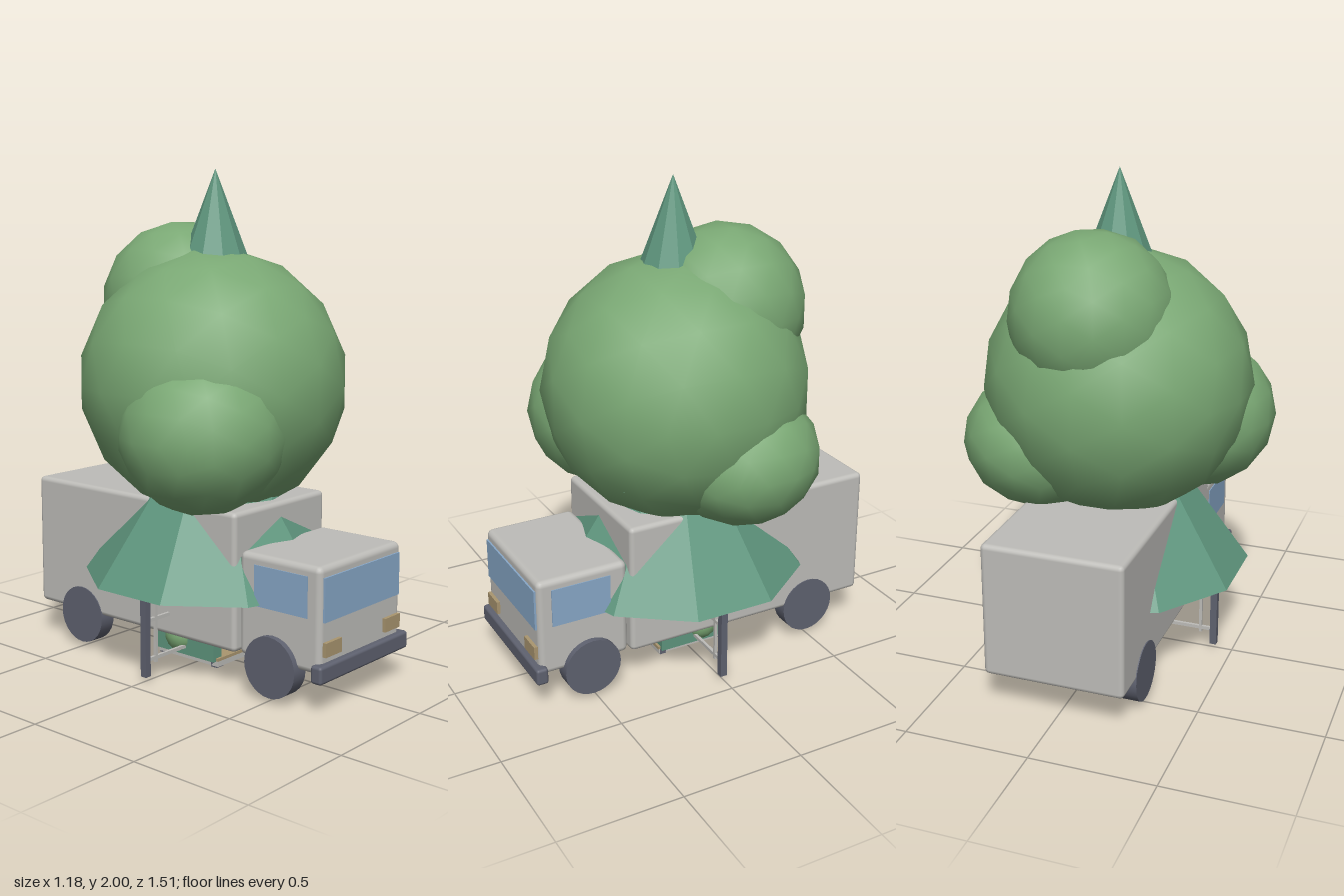
import * as THREE from 'three';
import { RoundedBoxGeometry } from 'three/addons/geometries/RoundedBoxGeometry.js';

function material(name, color, flatShading = false) {
  const m = new THREE.MeshStandardMaterial({ color, flatShading });
  m.name = name;
  return m;
}

export function createModel() {
  const model = new THREE.Group();
  const leaf = material('leaf green', 0x7aa874);
  const pine = material('pine green', 0x5f967e, true);
  const body = material('body grey', 0xbebdb9);
  const dark = material('rubber grey', 0x5f6270);
  const glass = material('window blue', 0x88a8c8);
  const lamp = material('lamp tan', 0xaa9670);
  const bark = material('bark brown', 0x7a6350);

  function add(parent, name, geometry, mat, x, y, z) {
    const mesh = new THREE.Mesh(geometry, mat);
    mesh.name = name;
    mesh.position.set(x, y, z);
    parent.add(mesh);
    return mesh;
  }
  function group(name) {
    const g = new THREE.Group();
    g.name = name;
    model.add(g);
    return g;
  }
  const box = (w, h, d) => new THREE.BoxGeometry(w, h, d);
  const rounded = (w, h, d, r) => new RoundedBoxGeometry(w, h, d, 2, r);

  // Delivery truck
  const truck = group('truck');
  add(truck, 'cargoBox', rounded(0.57, 0.55, 1.1, 0.02), body, 0, 0.43, -0.207);
  add(truck, 'cab', rounded(0.53, 0.41, 0.385, 0.025), body, 0, 0.355, 0.54);
  add(truck, 'chassis', box(0.4, 0.06, 1.2), dark, 0, 0.19, 0);
  add(truck, 'bumper', rounded(0.58, 0.07, 0.05, 0.012), dark, 0, 0.16, 0.732);
  add(truck, 'windshield', box(0.49, 0.17, 0.009), glass, 0, 0.435, 0.735);
  for (const s of [-1, 1]) {
    add(truck, 'sideWindow', box(0.006, 0.16, 0.25), glass, s * 0.266, 0.44, 0.55);
    add(truck, 'headlight', box(0.1, 0.055, 0.02), lamp, s * 0.195, 0.247, 0.737);
    for (const z of [0.515, -0.5]) {
      const wheel = add(truck, 'wheel', new THREE.CylinderGeometry(0.12, 0.12, 0.07, 28), dark, s * 0.254, 0.14, z);
      wheel.rotation.z = Math.PI / 2;
    }
  }

  // Round tree crown: x, y, z, radius, vertical scale
  const tree = group('roundTree');
  const blobs = [
    [0, 1.15, -0.01, 0.545, 1],
    [0.035, 1.46, -0.21, 0.33, 1.02],
    [-0.27, 0.99, 0.17, 0.33, 0.95],
    [0.275, 0.92, -0.155, 0.32, 0.87],
  ];
  for (const [x, y, z, r, sy] of blobs) {
    add(tree, 'foliage', new THREE.IcosahedronGeometry(r, 2), leaf, x, y, z).scale.y = sy;
  }
  add(tree, 'trunk', new THREE.CylinderGeometry(0.06, 0.09, 0.8, 10), bark, 0, 0.45, -0.02);

  // Stacked conifer tiers: base height, top height, radius
  const conifer = group('conifer');
  for (const [y0, y1, r] of [[0.365, 1.13, 0.54], [0.855, 1.6, 0.437], [1.16, 2, 0.32]]) {
    add(conifer, 'tier', new THREE.ConeGeometry(r, y1 - y0, 10), pine, 0, (y0 + y1) / 2, 0);
  }

  // Fence across the middle, with end posts, rails and pickets
  const fence = group('fence');
  for (const y of [0.085, 0.245]) add(fence, 'rail', box(0.84, 0.014, 0.012), body, 0, y, 0);
  for (const s of [-1, 1]) {
    add(fence, 'post', box(0.028, 0.36, 0.028), dark, s * 0.42, 0.2, 0);
    add(fence, 'picket', box(0.012, 0.3, 0.012), body, s * 0.362, 0.215, 0);
  }

  // Small garden set low under the truck
  const garden = group('garden');
  add(garden, 'slab', box(0.34, 0.025, 0.32), body, 0, 0.04, 0);
  add(garden, 'slabEdge', box(0.35, 0.012, 0.33), lamp, 0, 0.058, 0);
  add(garden, 'lawnPatch', new THREE.CylinderGeometry(0.06, 0.05, 0.025, 10), leaf, 0.02, 0.018, 0);
  for (const s of [-1, 1]) {
    add(garden, 'planter', box(0.05, 0.1, 0.31), pine, s * 0.165, 0.1, 0);
    add(garden, 'bush', new THREE.IcosahedronGeometry(0.075, 2), leaf, s * 0.15, 0.12, -0.045);
    for (const z of [-0.14, 0.14]) add(garden, 'foot', box(0.04, 0.025, 0.03), dark, s * 0.15, 0.035, z);
  }
  add(garden, 'base', box(0.12, 0.01, 0.12), pine, 0, 0.005, 0);
  return model;
}
